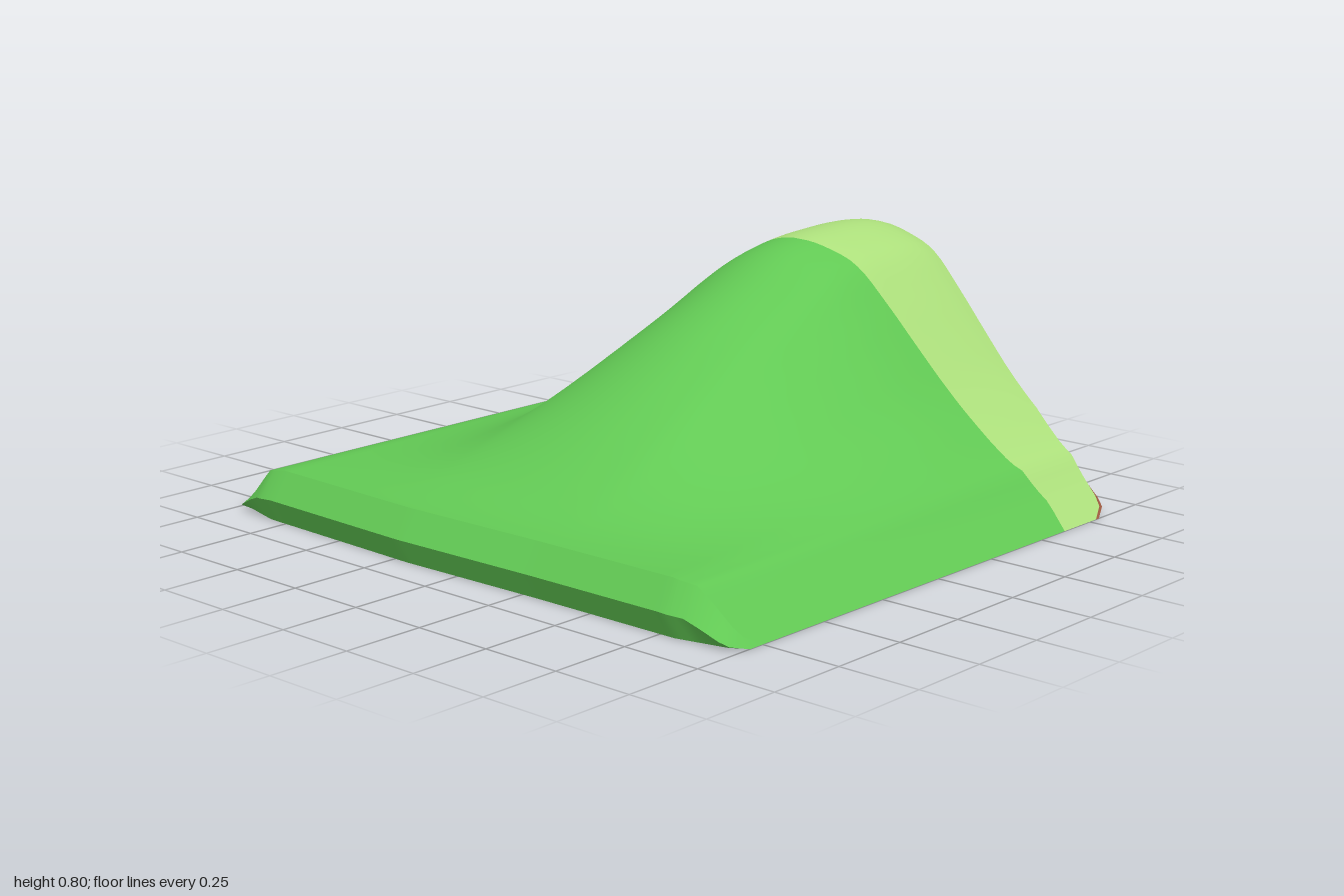
import * as THREE from 'three';

// Curve through [position, value] pairs; clamped at both ends
function curve(points, smooth = false) {
  const Type = smooth ? THREE.CubicInterpolant : THREE.LinearInterpolant;
  const it = new Type(points.map(p => p[0]), points.map(p => p[1]), 1, new Float32Array(1));
  const lo = points[0][0], hi = points[points.length - 1][0];
  return t => it.evaluate(Math.min(hi - 1e-6, Math.max(lo, t)))[0];
}

// Outline in plan and the edge of the pale grass, as x over z
const leftEdge = curve([[-1, -0.8], [-0.97, -0.86], [-0.82, -0.9], [-0.2, -0.92], [0.3, -0.905], [0.8, -0.9], [0.97, -0.86], [1, -0.8]]);
const rightEdge = curve([[-1, 0.81], [-0.9, 0.865], [-0.8, 0.89], [-0.65, 0.91], [0.7, 0.91], [0.8, 0.89], [0.97, 0.865], [1, 0.8]]);
const grassLine = curve([[-1, 0.7], [-0.93, 0.73], [-0.85, 0.69], [-0.6, 0.65], [-0.4, 0.59], [-0.2, 0.52],
  [0, 0.485], [0.1, 0.48], [0.3, 0.51], [0.6, 0.57], [0.82, 0.6], [0.93, 0.635], [1, 0.62]]);

// Heights: slab with sloping sides, rise along the ridge, section of the hill and of the hollow
const slab = curve([[-1, 0.005], [-0.9, 0.105], [-0.85, 0.145], [-0.78, 0.16], [0.78, 0.16], [0.85, 0.15], [0.9, 0.105], [1, 0.005]]);
const rise = curve([[-0.92, 0], [-0.85, 0], [-0.7, 0.03], [-0.6, 0.075], [-0.4, 0.185], [-0.2, 0.297], [0, 0.41],
  [0.2, 0.51], [0.37, 0.595], [0.47, 0.622], [0.6, 0.637], [0.84, 0.636], [0.91, 0.618]], true);
const hill = curve([[-1, 0], [-0.85, 0], [-0.7, 0.05], [-0.6, 0.12], [-0.5, 0.235], [-0.4, 0.405], [-0.3, 0.61], [-0.2, 0.78],
  [-0.1, 0.905], [0, 0.98], [0.1, 1], [0.2, 0.965], [0.3, 0.89], [0.4, 0.72], [0.5, 0.53], [0.6, 0.345],
  [0.7, 0.19], [0.8, 0.06], [0.9, 0], [1, 0]], true);
const hollow = curve([[-1, 0], [-0.9, 0.01], [-0.75, 0.09], [-0.6, 0.26], [-0.5, 0.42], [-0.4, 0.61], [-0.3, 0.79], [-0.2, 0.91],
  [-0.1, 0.98], [0.1, 1], [0.2, 0.985], [0.3, 0.92], [0.4, 0.81], [0.5, 0.62], [0.6, 0.42],
  [0.7, 0.25], [0.8, 0.12], [0.9, 0.02], [1, 0]], true);
const topY = (x, z) => slab(z) + Math.max(0, rise(x)) * Math.max(0, hill(z));
const underY = (x, z) => 0.005 + Math.max(0, rise(x)) * Math.max(0, hollow(z));

// Grid surface: step i runs along the cross path, rows run along z
const ROWS = 80;
function sheet(steps, pointAt) {
  const pos = [], index = [];
  for (let i = 0; i <= steps; i++)
    for (let j = 0; j <= ROWS; j++) {
      const z = -1 + 2 * j / ROWS;
      pos.push(...pointAt(i, z), z);
    }
  for (let i = 0; i < steps; i++)
    for (let j = 0; j < ROWS; j++) {
      const a = i * (ROWS + 1) + j, c = a + ROWS + 1;
      index.push(a, a + 1, c, c, a + 1, c + 1);
    }
  const g = new THREE.BufferGeometry();
  g.setAttribute('position', new THREE.Float32BufferAttribute(pos, 3));
  g.setIndex(index);
  g.computeVertexNormals();
  return g;
}

export function createModel() {
  const group = new THREE.Group();
  const mat = (name, color) => {
    const m = new THREE.MeshStandardMaterial({ color });
    m.name = name;
    return m;
  };
  const grass = mat('grass green', 0x62c954);
  const paleGrass = mat('pale grass', 0xade07c);
  const earth = mat('brown earth', 0xa05c42);
  const add = (name, geometry, material) => {
    const mesh = new THREE.Mesh(geometry, material);
    mesh.name = name;
    group.add(mesh);
  };
  const lerp = THREE.MathUtils.lerp;

  // Key points of the cross path at a given z
  const lipTop = z => { const x = leftEdge(z) + 0.055; return [x, topY(x, z)]; };
  const lipBottom = z => { const x = leftEdge(z) + 0.035; return [x, underY(x, z)]; };
  const lipMiddle = z => [leftEdge(z), lerp(lipBottom(z)[1], lipTop(z)[1], 0.48)];
  const rimTop = z => { const x = rightEdge(z) - 0.015; return [x, topY(x, z)]; };
  const rimBottom = z => { const x = rightEdge(z) - 0.012; return [x, underY(x, z)]; };
  const rimMiddle = z => [rightEdge(z), lerp(rimTop(z)[1], rimBottom(z)[1], 0.2)];

  // Grassy top, with the pale strip along the mouth of the hollow
  const G = 56, P = 16;
  const top = sheet(G + P, (i, z) => {
    const line = grassLine(z);
    const x = i <= G ? lerp(lipTop(z)[0], line, i / G) : lerp(line, rimTop(z)[0], (i - G) / P);
    return [x, topY(x, z)];
  });
  top.addGroup(0, G * ROWS * 6, 0);
  top.addGroup(G * ROWS * 6, P * ROWS * 6, 1);
  add('hillTop', top, [grass, paleGrass]);

  // Earth underside with the hollow
  add('hollowUnderside', sheet(60, (i, z) => {
    const x = lerp(rimBottom(z)[0], lipBottom(z)[0], i / 60);
    return [x, underY(x, z)];
  }), earth);

  // Bevelled bands: grass lip at the low end, earth rim at the mouth
  const band = (name, from, to, material) => add(name, sheet(1, (i, z) => (i ? to : from)(z)), material);
  band('lowerLip', lipBottom, lipMiddle, grass);
  band('upperLip', lipMiddle, lipTop, grass);
  band('rimBevel', rimTop, rimMiddle, earth);
  band('rimFace', rimMiddle, rimBottom, earth);
  return group;
}
